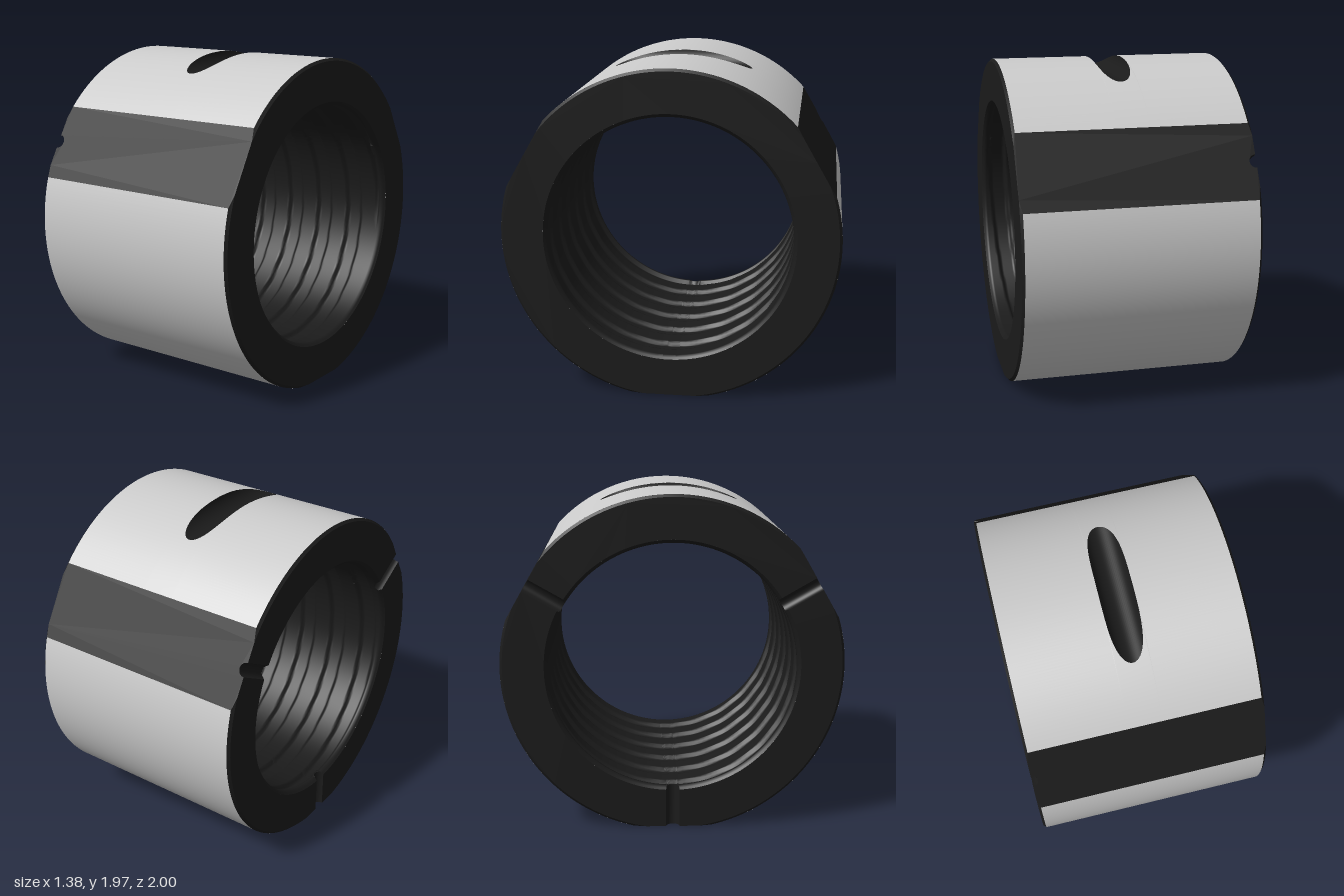
import * as THREE from 'three';

const R = 1, FLAT = 0.973, CY = 0.973;          // outer radius, flat distance, axis height
const HALF = 0.69, CH = 0.015;                  // half length, end chamfer
const RC = R - CH, BORE = 0.725, RIM = 0.745;   // radii at the end faces
const NOTCH = 0.04, GROOVE = 0.1, GROOVE_Y = 1.005;
const rad = THREE.MathUtils.degToRad, lerp = THREE.MathUtils.lerp;
const FLATS = [30, 150, 270].map(rad), THIRD = rad(120);
const A = Math.acos(FLAT / R), A2 = Math.acos(FLAT / RC);   // half angles of a flat

const grey = new THREE.MeshStandardMaterial({ color: 0xcccccc, side: THREE.DoubleSide });
const dark = new THREE.MeshStandardMaterial({ color: 0x1b1b1b, side: THREE.DoubleSide });

const range = (a, b, n) => Array.from({ length: n + 1 }, (_, i) => lerp(a, b, i / n));
// Point on a circle about the x axis; angle 0 is +z, 90 degrees is up
const polar = (x, r, t) => [x, CY + r * Math.sin(t), r * Math.cos(t)];

// Smooth grid surface over two parameter lists
function sheet(us, vs, fn) {
  const pos = [], idx = [], n = vs.length;
  us.forEach((u, i) => vs.forEach((v, j) => {
    pos.push(...fn(u, v));
    if (i && j) {
      const d = i * n + j, c = d - 1, b = d - n, a = b - 1;
      idx.push(a, c, d, a, d, b);
    }
  }));
  const g = new THREE.BufferGeometry();
  g.setAttribute('position', new THREE.Float32BufferAttribute(pos, 3));
  g.setIndex(idx);
  g.computeVertexNormals();
  return g;
}

// Bore radius: shallow helical thread with chamfered mouths
function boreRadius(x, t) {
  const pitch = 0.23;
  const p = (((x / pitch - t / (2 * Math.PI)) % 1) + 1) % 1;
  const depth = THREE.MathUtils.clamp((0.25 - Math.abs(p - 0.5)) / 0.06, 0, 1) * 0.025;
  const mouth = Math.abs(x) - (HALF - 0.05);
  if (mouth > 0) return BORE + Math.max(0, Math.abs(x) - (HALF - 0.02));
  return BORE + depth;
}

// End face in three sectors, parted by radial slots of half width n
function endShapes(n) {
  return FLATS.map(t0 => {
    const t1 = t0 + THIRD, at = (r, t) => new THREE.Vector2(r * Math.cos(t), r * Math.sin(t));
    const out = Math.atan2(n, FLAT), rOut = Math.hypot(n, FLAT), inn = Math.asin(n / RIM);
    return new THREE.Shape([
      at(rOut, t0 + out),
      ...range(t0 + A2, t1 - A2, 48).map(t => at(RC, t)),
      at(rOut, t1 - out),
      ...range(t1 - inn, t0 + inn, 48).map(t => at(RIM, t)),
    ]);
  });
}

// Flat with chamfered corners and a half-round cut at its -x end
function flatShape() {
  const w = R * Math.sin(A), w2 = RC * Math.sin(A2), x = HALF - CH;
  const s = new THREE.Shape();
  s.moveTo(-HALF, -w2);
  s.lineTo(-x, -w);
  s.lineTo(x, -w);
  s.lineTo(HALF, -w2);
  s.lineTo(HALF, w2);
  s.lineTo(x, w);
  s.lineTo(-x, w);
  s.lineTo(-HALF, w2);
  s.lineTo(-HALF, NOTCH);
  s.absarc(-HALF, 0, NOTCH, Math.PI / 2, -Math.PI / 2, true);
  return s;
}

export function createModel() {
  const model = new THREE.Group();
  const add = (name, geometry, material) => {
    const mesh = new THREE.Mesh(geometry, material);
    mesh.name = name;
    model.add(mesh);
    return mesh;
  };

  // Cross groove on top: floor height above the axis and its angular half length
  const gx = Math.sqrt(GROOVE ** 2 - (GROOVE_Y - R) ** 2);
  const floorY = x => GROOVE_Y - Math.sqrt(Math.max(0, GROOVE ** 2 - x * x));
  const open = x => (Math.abs(x) >= gx ? 0 : Math.acos(Math.min(1, floorY(x))));
  const grooveXs = range(-Math.PI / 2, Math.PI / 2, 32).map(a => gx * Math.sin(a));
  const bodyXs = [-HALF + CH, ...grooveXs, HALF - CH];
  const top = Math.PI / 2, unit = range(0, 1, 48);
  add('frontTopWall', sheet(bodyXs, unit,
    (x, v) => polar(x, R, lerp(FLATS[0] + A, top - open(x), v))), grey);
  add('backTopWall', sheet(bodyXs, unit,
    (x, v) => polar(x, R, lerp(top + open(x), FLATS[1] - A, v))), grey);
  add('topGroove', sheet([-1, 1], grooveXs,
    (s, x) => [x, CY + floorY(x), s * Math.sin(open(x))]), dark);

  // Lower curved walls
  [FLATS[1], FLATS[2]].forEach((t, i) => add(i ? 'frontLowerWall' : 'backLowerWall',
    sheet([-HALF + CH, HALF - CH], range(t + A, t + THIRD - A, 72), (x, a) => polar(x, R, a)), grey));

  FLATS.forEach((t, i) => {
    // Flat
    const flat = new THREE.ShapeGeometry(flatShape(), 16);
    flat.translate(0, 0, FLAT).rotateX(-t).translate(0, CY, 0);
    add('flat' + (i + 1), flat, dark);

    // Edge chamfers at both ends
    for (const s of [-1, 1]) {
      const ends = s < 0 ? [0, 1] : [1, 0];
      add('edgeChamfer', sheet(ends, unit, (k, v) => {
        const a = lerp(A2, A, k);
        return polar(s * (HALF - CH * k), lerp(RC, R, k), lerp(t + a, t + THIRD - a, v));
      }), dark);
    }

    // Radial half-round notch in the -x end
    const notch = sheet([0, 1], range(0, Math.PI, 16), (k, p) => {
      const y = NOTCH * Math.cos(p), x = -HALF + NOTCH * Math.sin(p);
      return [x, y, lerp(Math.sqrt(boreRadius(x, t) ** 2 - y * y), FLAT, k)];
    });
    notch.rotateX(-t).translate(0, CY, 0);
    add('notch' + (i + 1), notch, dark);
  });

  // End faces
  for (const s of [-1, 1]) {
    const face = new THREE.ShapeGeometry(endShapes(s < 0 ? NOTCH : 0));
    face.rotateY(s * Math.PI / 2).translate(s * HALF, CY, 0);
    add(s < 0 ? 'notchedEnd' : 'plainEnd', face, dark);
  }

  // Threaded bore, its -x edge following the notches
  const half = Math.asin(NOTCH / RIM), angles = [];
  FLATS.forEach(t => {
    angles.push(...range(-Math.PI / 2, Math.PI / 2, 12).map(p => t + half * Math.sin(p)));
    angles.push(...range(t + half, t + THIRD - half, 44).slice(1, -1));
  });
  angles.push(FLATS[0] - half + 2 * Math.PI);
  const startX = t => {
    const d = Math.min(...FLATS.map(f => Math.abs(Math.atan2(Math.sin(t - f), Math.cos(t - f)))));
    return -HALF + Math.sqrt(Math.max(0, NOTCH ** 2 - (RIM * Math.sin(Math.min(d, half))) ** 2));
  };
  add('threadedBore', sheet(angles, range(0, 1, 138), (t, v) => {
    const x = lerp(startX(t), HALF, v);
    return polar(x, boreRadius(x, t), t);
  }), dark);

  return model;
}
